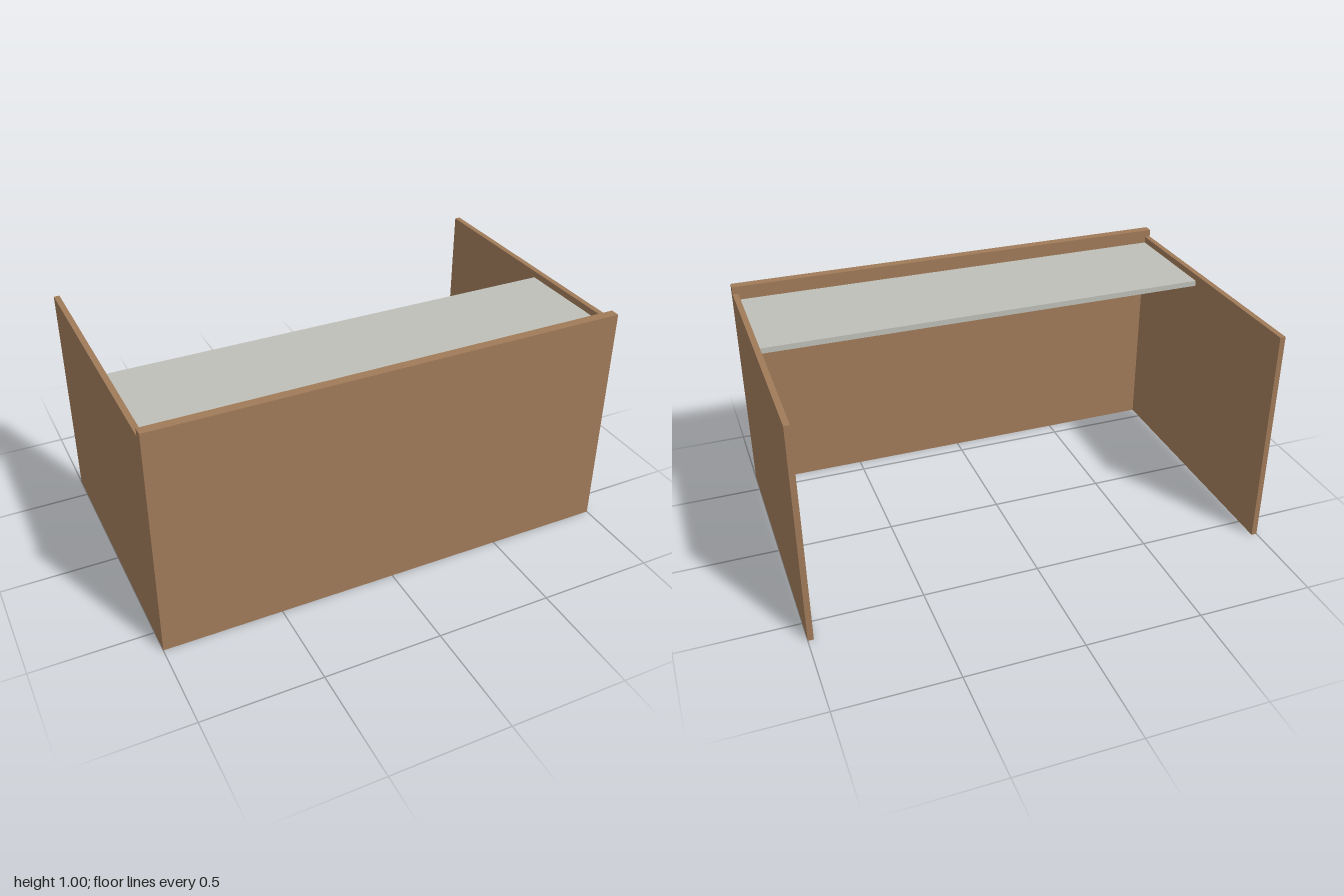
import * as THREE from 'three';

const wood = new THREE.MeshStandardMaterial({ color: 0xa07a58 });
const grey = new THREE.MeshStandardMaterial({ color: 0xbebeb8 });

const FRONT = 0.607, BACK = -0.607;
const FRONT_THICKNESS = 0.04, SIDE_THICKNESS = 0.024;
const INNER_FRONT = FRONT - FRONT_THICKNESS;

// Box given by its lower and upper corners
function panel(name, material, min, max) {
  const size = max.map((v, i) => v - min[i]);
  const mesh = new THREE.Mesh(new THREE.BoxGeometry(...size), material);
  mesh.position.set(...max.map((v, i) => (v + min[i]) / 2));
  mesh.name = name;
  return mesh;
}

export function createModel() {
  const desk = new THREE.Group();
  desk.name = 'receptionCounter';

  // Full-width front, slightly taller than the sides
  desk.add(panel('frontPanel', wood, [-1, 0, INNER_FRONT], [1, 1, FRONT]));

  // Side panels butting against the back of the front panel
  const inner = 1 - SIDE_THICKNESS;
  desk.add(panel('leftSidePanel', wood, [inner, 0, BACK], [1, 0.967, INNER_FRONT]));
  desk.add(panel('rightSidePanel', wood, [-1, 0, BACK], [-inner, 0.967, INNER_FRONT]));

  // Shelf between the sides, just below their top edges
  desk.add(panel('shelf', grey, [-inner, 0.915, 0.067], [inner, 0.939, INNER_FRONT]));

  return desk;
}
